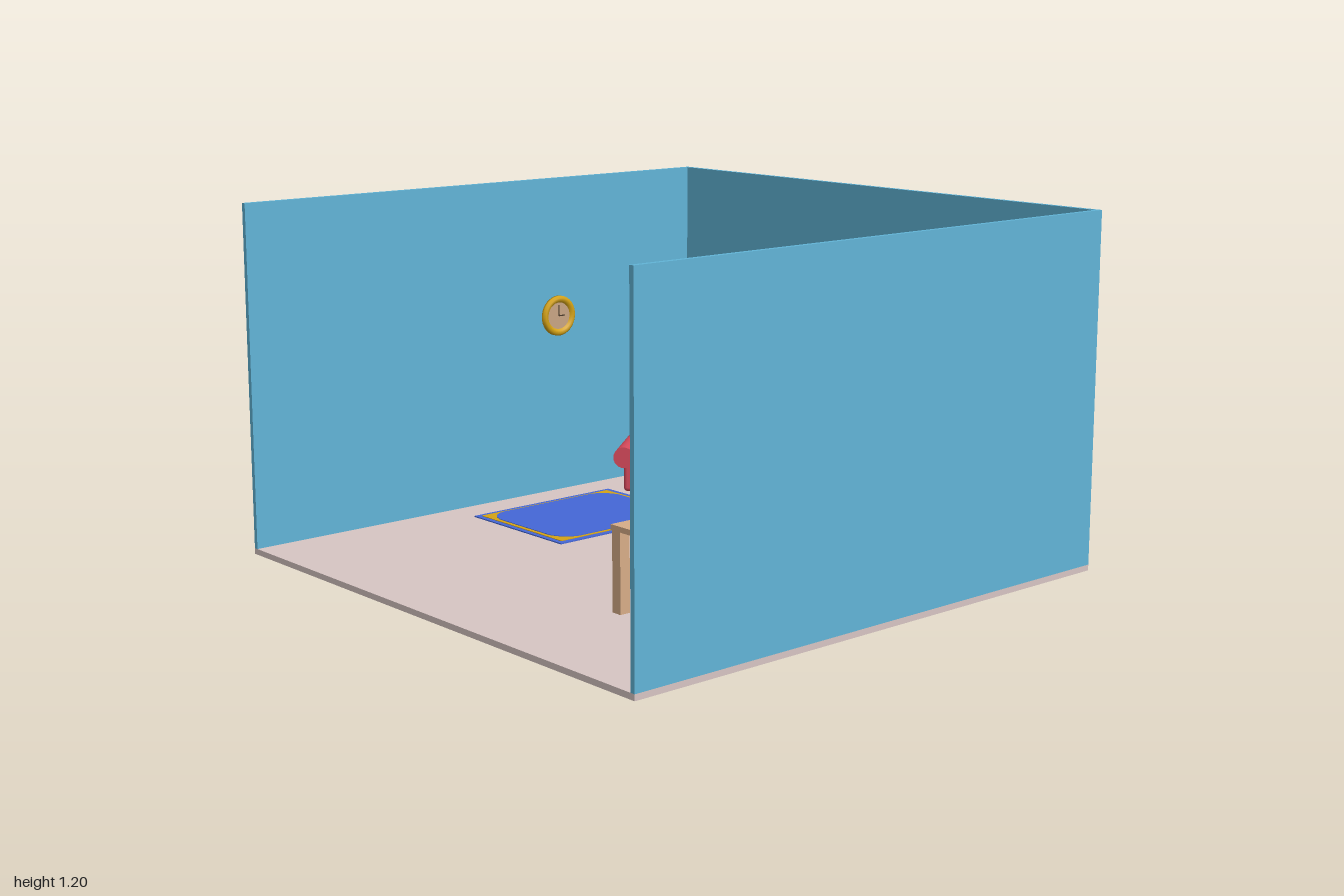
import * as THREE from 'three';
import { RoundedBoxGeometry } from 'three/addons/geometries/RoundedBoxGeometry.js';

const mat = (color) => new THREE.MeshStandardMaterial({ color });
const WALL = mat(0x62b5d8), FLOOR = mat(0xd8c6c4), RED = mat(0xd84a5c), NAVY = mat(0x1f3a6e);
const BLUE = mat(0x4568d8), GOLD = mat(0xd6a417), WOOD = mat(0xd8ae88), GREEN = mat(0x55806c);
const GREY = mat(0xb4b4b0), ORANGE = mat(0xdc6034), TAN = mat(0xc9a684), DARK = mat(0x4a3a2a);

function add(parent, name, geometry, material, x = 0, y = 0, z = 0) {
  const mesh = new THREE.Mesh(geometry, material);
  mesh.name = name;
  mesh.position.set(x, y, z);
  parent.add(mesh);
  return mesh;
}

// Box given by its lower and upper limits on each axis
function block(parent, name, material, [x0, x1], [y0, y1], [z0, z1]) {
  const g = new THREE.BoxGeometry(x1 - x0, y1 - y0, z1 - z0);
  return add(parent, name, g, material, (x0 + x1) / 2, (y0 + y1) / 2, (z0 + z1) / 2);
}

function group(parent, name) {
  const g = new THREE.Group();
  g.name = name;
  parent.add(g);
  return g;
}

function buildRoom(root) {
  const room = group(root, 'room');
  block(room, 'floor', FLOOR, [-1, 1], [0, 0.02], [-0.99, 0.985]);
  block(room, 'backWall', WALL, [-1, 1], [0.02, 1.2], [-0.99, -0.973]);
  for (const s of [-1, 1]) {
    const x = s < 0 ? [-1, -0.983] : [0.983, 1];
    block(room, s < 0 ? 'rightWall' : 'leftWall', WALL, x, [0.02, 1.2], [-0.973, 0.985]);
  }
}

function buildArmchair(root) {
  const chair = group(root, 'armchair');
  chair.position.set(-0.596, 0, -0.596);
  chair.rotation.y = 0.69;

  add(chair, 'seatBase', new RoundedBoxGeometry(0.34, 0.09, 0.38, 3, 0.02), RED, 0, 0.12, 0);
  add(chair, 'seatCushion', new RoundedBoxGeometry(0.3, 0.07, 0.37, 3, 0.02), RED, 0, 0.155, 0.007);

  // Backrest with an arched top and soft edges
  const b = 0.022, w = 0.182 - b, top = 0.48 - b;
  const back = new THREE.Shape();
  back.moveTo(-w, 0.077 + b);
  back.lineTo(w, 0.077 + b);
  back.lineTo(w - 0.004, 0.37);
  back.bezierCurveTo(w - 0.008, top - 0.02, w - 0.035, top - 0.005, 0.06, top);
  back.lineTo(-0.06, top);
  back.bezierCurveTo(-w + 0.035, top - 0.005, -w + 0.008, top - 0.02, -w + 0.004, 0.37);
  const backGeo = new THREE.ExtrudeGeometry(back, {
    depth: 0.02, bevelEnabled: true, bevelSize: b, bevelThickness: b, bevelSegments: 5, curveSegments: 10,
  });
  add(chair, 'backrest', backGeo, RED, 0, 0, -0.21);

  for (const s of [-1, 1]) {
    const side = s < 0 ? 'right' : 'left';
    add(chair, side + 'ArmPanel', new RoundedBoxGeometry(0.05, 0.135, 0.385, 3, 0.015), RED, s * 0.157, 0.143, 0);
    const roll = add(chair, side + 'ArmRoll', new THREE.CylinderGeometry(0.039, 0.039, 0.395, 24), RED, s * 0.178, 0.205, 0.003);
    roll.rotation.x = Math.PI / 2;
    for (const z of [-0.13, 0.13]) {
      add(chair, side + (z < 0 ? 'BackLeg' : 'FrontLeg'),
        new THREE.CylinderGeometry(0.03, 0.016, 0.06, 16), NAVY, s * 0.141, 0.052, z);
    }
  }
}

function buildRug(root) {
  const rug = group(root, 'rug');
  block(rug, 'rugBase', BLUE, [-0.85, -0.35], [0.02, 0.024], [-0.455, 0.17]);
  block(rug, 'rugBorder', GOLD, [-0.83, -0.37], [0.024, 0.026], [-0.432, 0.152]);

  // Centre panel with curved-off corners
  const w = 0.219, h = 0.277, c = 0.075, d = 0.035;
  const panel = new THREE.Shape();
  panel.moveTo(w, -h + c);
  panel.lineTo(w, h - c);
  panel.quadraticCurveTo(w - 0.01, h - d / 2, w - c, h);
  panel.lineTo(-w + c, h);
  panel.quadraticCurveTo(-w + 0.01, h - d / 2, -w, h - c);
  panel.lineTo(-w, -h + c);
  panel.quadraticCurveTo(-w + 0.01, -h + d / 2, -w + c, -h);
  panel.lineTo(w - c, -h);
  panel.quadraticCurveTo(w - 0.01, -h + d / 2, w, -h + c);
  const geo = new THREE.ExtrudeGeometry(panel, { depth: 0.002, bevelEnabled: false, curveSegments: 4 });
  add(rug, 'rugCentre', geo, BLUE, -0.6, 0.026, -0.14).rotation.x = -Math.PI / 2;
}

function buildTable(root) {
  const table = group(root, 'table');
  block(table, 'tableTop', WOOD, [0.373, 0.795], [0.282, 0.3], [-0.393, 0.547]);
  for (const x of [0.376, 0.754])
    for (const z of [-0.39, 0.506])
      block(table, 'tableLeg', WOOD, [x, x + 0.038], [0.02, 0.282], [z, z + 0.038]);
  block(table, 'deskMat', GREEN, [0.457, 0.713], [0.3, 0.307], [0.215, 0.472]);
}

// Square picture: raised frame, inner mount and coloured panel
function buildPicture(root, x, y, color) {
  const picture = group(root, 'wallPicture');
  picture.position.set(x, y, -0.973);
  const square = (Type, r) => new Type().moveTo(-r, -r).lineTo(r, -r).lineTo(r, r).lineTo(-r, r).closePath();
  const frame = square(THREE.Shape, 0.073);
  frame.holes.push(square(THREE.Path, 0.059));
  add(picture, 'pictureFrame', new THREE.ExtrudeGeometry(frame, { depth: 0.036, bevelEnabled: false }), GREY);
  block(picture, 'pictureMount', GREY, [-0.059, 0.059], [-0.059, 0.059], [0, 0.024]);
  block(picture, 'picturePanel', color, [-0.051, 0.051], [-0.051, 0.051], [0.024, 0.027]);
}

function buildClock(root) {
  const clock = group(root, 'wallClock');
  clock.position.set(-0.983, 0.686, -0.325);
  clock.rotation.y = Math.PI / 2;
  // Turned rim around a flat face
  const profile = [[0.05, 0], [0.075, 0], [0.075, 0.01], [0.067, 0.018], [0.056, 0.016], [0.05, 0.008]]
    .map(([r, h]) => new THREE.Vector2(r, h));
  const rimMat = GOLD.clone();
  rimMat.side = THREE.DoubleSide;
  add(clock, 'clockRim', new THREE.LatheGeometry(profile, 36), rimMat).rotation.x = Math.PI / 2;
  add(clock, 'clockFace', new THREE.CylinderGeometry(0.052, 0.052, 0.008, 36), TAN, 0, 0, 0.004).rotation.x = Math.PI / 2;
  block(clock, 'minuteHand', DARK, [-0.002, 0.002], [0, 0.04], [0.008, 0.01]);
  block(clock, 'hourHand', DARK, [0, 0.026], [-0.002, 0.002], [0.008, 0.01]);
}

export function createModel() {
  const root = new THREE.Group();
  root.name = 'livingRoom';
  buildRoom(root);
  buildArmchair(root);
  buildRug(root);
  buildTable(root);
  buildPicture(root, -0.622, 0.711, ORANGE);
  buildPicture(root, -0.408, 0.563, GOLD);
  buildClock(root);
  return root;
}
